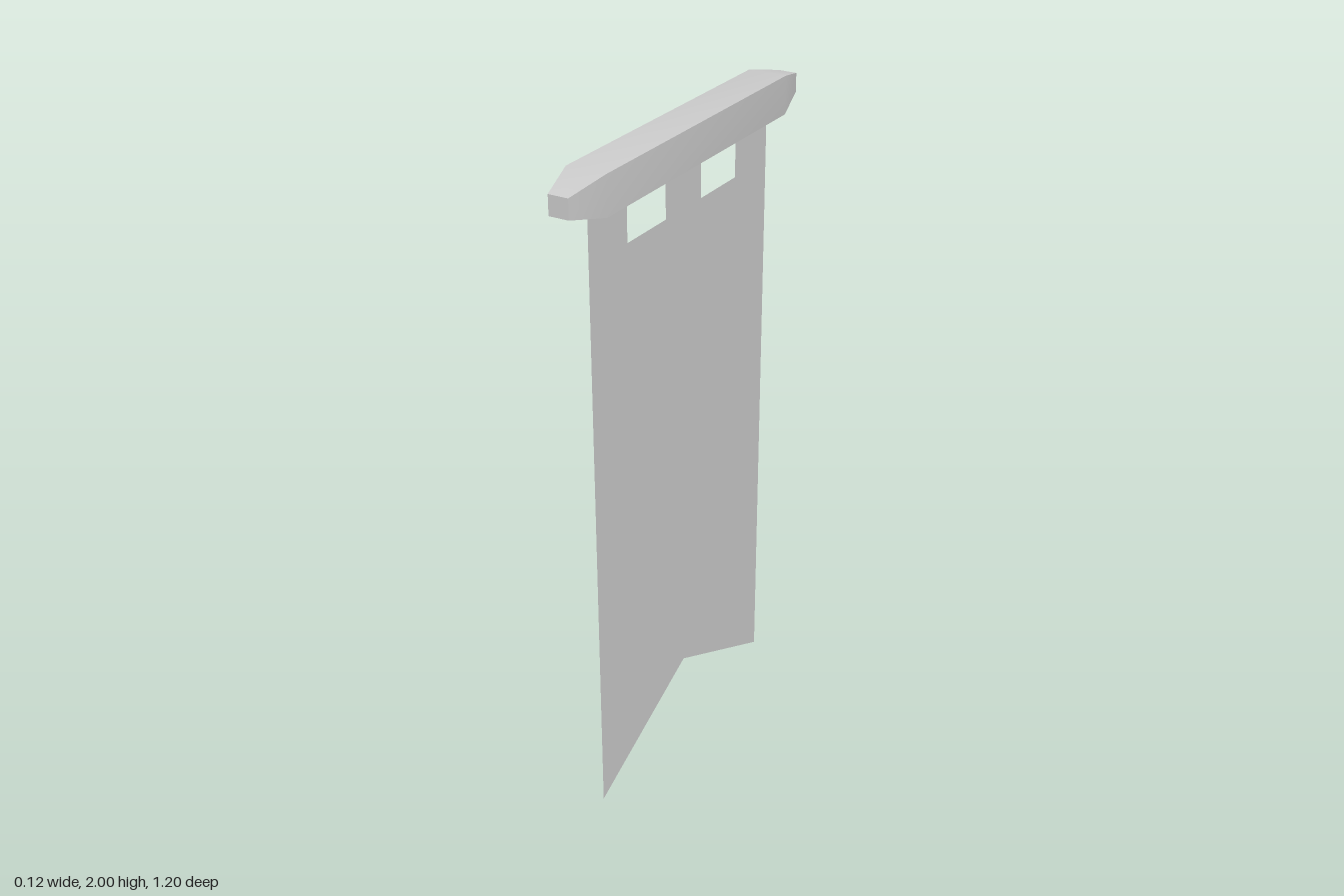
import * as THREE from 'three';
import { toCreasedNormals } from 'three/addons/utils/BufferGeometryUtils.js';

const HALF_WIDTH = 0.475; // half width of the cloth, and where the bar starts to taper
const BAR_BOTTOM = 1.885;

// Square bar whose two ends taper to a smaller blunt tip
function createBar(material) {
  const height = 2 - BAR_BOTTOM;
  const geometry = new THREE.BoxGeometry(0.12, height, 1.2, 1, 1, 3);
  const p = geometry.attributes.position;
  for (let i = 0; i < p.count; i++) {
    const z = p.getZ(i);
    if (Math.abs(z) > 0.5) {
      p.setX(i, p.getX(i) * 0.5);
      p.setY(i, p.getY(i) * 0.5);
    } else {
      p.setZ(i, Math.sign(z) * HALF_WIDTH);
    }
  }
  const bar = new THREE.Mesh(toCreasedNormals(geometry, 0.5), material);
  bar.name = 'crossbar';
  bar.position.y = BAR_BOTTOM + height / 2;
  return bar;
}

// Flat cloth with a swallowtail hem, hung from three tabs
function createCloth(material) {
  const slotBottom = 1.74;
  const half = [
    [0.095, BAR_BOTTOM], [0.095, slotBottom],
    [0.29, slotBottom], [0.29, BAR_BOTTOM],
    [HALF_WIDTH, BAR_BOTTOM], [HALF_WIDTH, 0],
  ];
  const mirrored = half.map(([x, y]) => [-x, y]).reverse();
  const outline = [...half, [0, 0.225], ...mirrored];
  const shape = new THREE.Shape(outline.map(([x, y]) => new THREE.Vector2(x, y)));
  const geometry = new THREE.ShapeGeometry(shape).rotateY(-Math.PI / 2);
  const cloth = new THREE.Mesh(geometry, material);
  cloth.name = 'bannerCloth';
  return cloth;
}

export function createModel() {
  const group = new THREE.Group();
  group.name = 'hangingBanner';
  const solid = new THREE.MeshStandardMaterial({ color: 0xcccccc });
  const thin = new THREE.MeshStandardMaterial({ color: 0xcccccc, side: THREE.DoubleSide });
  group.add(createBar(solid), createCloth(thin));
  return group;
}
